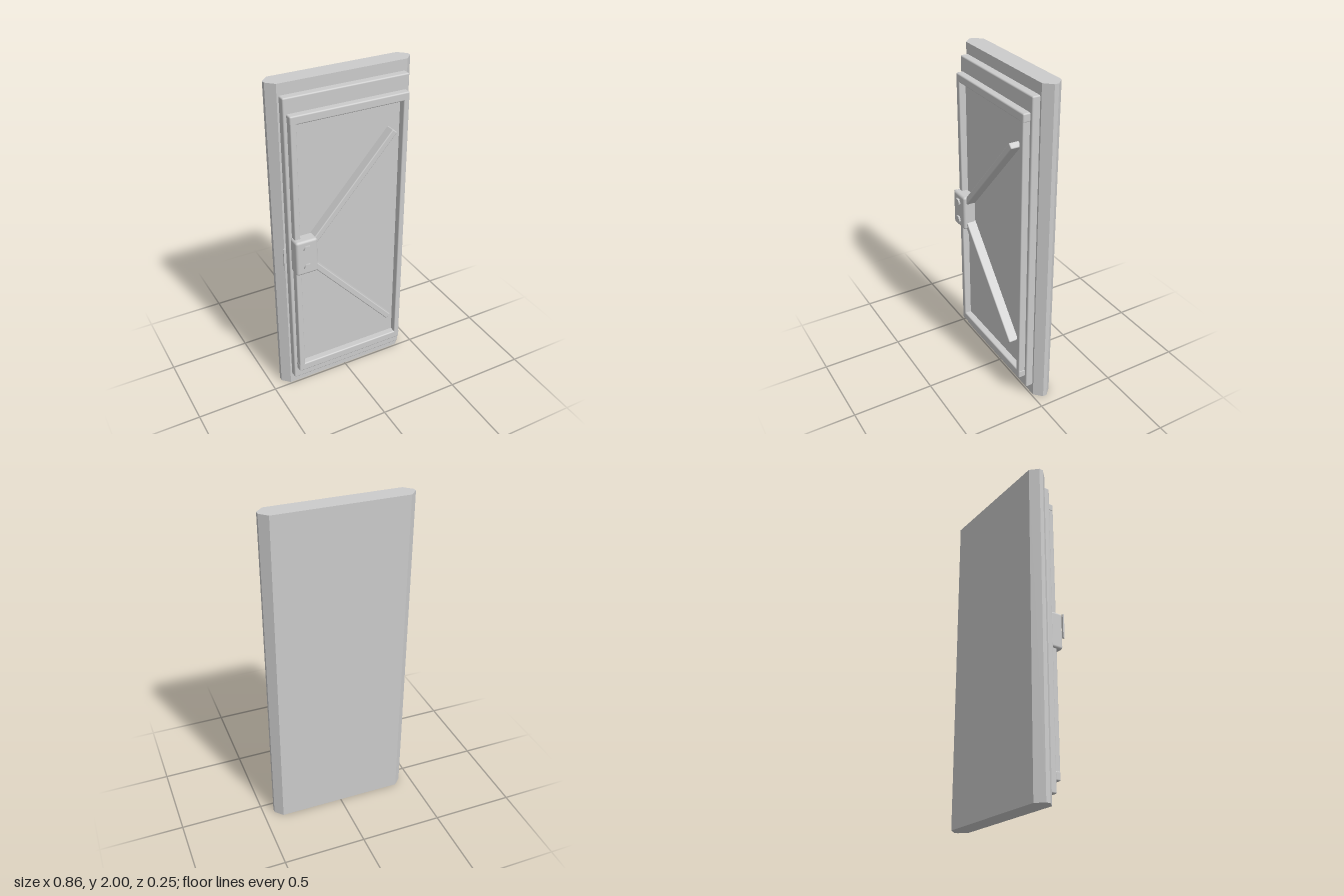
import * as THREE from 'three';
import { RoundedBoxGeometry } from 'three/addons/geometries/RoundedBoxGeometry.js';

const grey = new THREE.MeshStandardMaterial({ color: 0xcccccc });

export function createModel() {
  const door = new THREE.Group();
  door.name = 'door';

  const add = (name, geometry, x = 0, y = 0, z = 0) => {
    const mesh = new THREE.Mesh(geometry, grey);
    mesh.name = name;
    mesh.position.set(x, y, z);
    door.add(mesh);
    return mesh;
  };

  // Rounded block given by its min and max along each axis
  const block = (name, [x0, x1], [y0, y1], [z0, z1], radius = 0.008) =>
    add(name, new RoundedBoxGeometry(x1 - x0, y1 - y0, z1 - z0, 2, radius),
      (x0 + x1) / 2, (y0 + y1) / 2, (z0 + z1) / 2);

  // Slab with bevelled long edges, extruded upwards
  const outline = [
    [-0.387, 0.01], [0.387, 0.01], [0.432, 0.055], [0.432, 0.08],
    [0.387, 0.125], [-0.387, 0.125], [-0.432, 0.08], [-0.432, 0.055],
  ].map(([x, y]) => new THREE.Vector2(x, y));
  const slab = new THREE.ExtrudeGeometry(new THREE.Shape(outline), { depth: 2, bevelEnabled: false });
  slab.rotateX(-Math.PI / 2);
  add('slab', slab);

  // Raised panel
  block('panel', [-0.376, 0.376], [0.07, 1.935], [-0.02, 0.034]);

  // Frame of two rails and two stiles
  block('bottomRail', [-0.358, 0.358], [0.145, 0.197], [0.02, 0.075]);
  block('topRail', [-0.358, 0.358], [1.797, 1.847], [0.02, 0.075]);
  for (const [name, side] of [['leftStile', 1], ['rightStile', -1]]) {
    const stile = block(name, [0.322, 0.356], [0.17, 1.82], [0.02, 0.075], 0.006);
    stile.position.x *= side;
  }

  // Diagonal braces spreading from the lock plate
  const start = new THREE.Vector2(-0.265, 0.055);
  const end = new THREE.Vector2(0.262, 0.643);
  const run = end.clone().sub(start);
  for (const [name, side] of [['upperBrace', 1], ['lowerBrace', -1]]) {
    const brace = add(name, new RoundedBoxGeometry(run.length(), 0.036, 0.065, 2, 0.006),
      (start.x + end.x) / 2, 1 + side * (start.y + end.y) / 2, 0.0595);
    brace.rotation.z = side * run.angle();
  }

  // Lock plate with two hexagonal bolts
  block('lockPlate', [-0.367, -0.233], [0.89, 1.112], [0.03, 0.111], 0.015);
  for (const y of [0.94, 1.06]) {
    const bolt = new THREE.CylinderGeometry(0.026, 0.026, 0.011, 6);
    bolt.rotateY(Math.PI / 2).rotateX(Math.PI / 2);
    add('bolt', bolt, -0.3, y, 0.1185);
  }

  // Slim latch bar beside the lock plate
  add('latchBar', new THREE.BoxGeometry(0.012, 0.145, 0.009), -0.421, 1, 0.069);

  return door;
}
